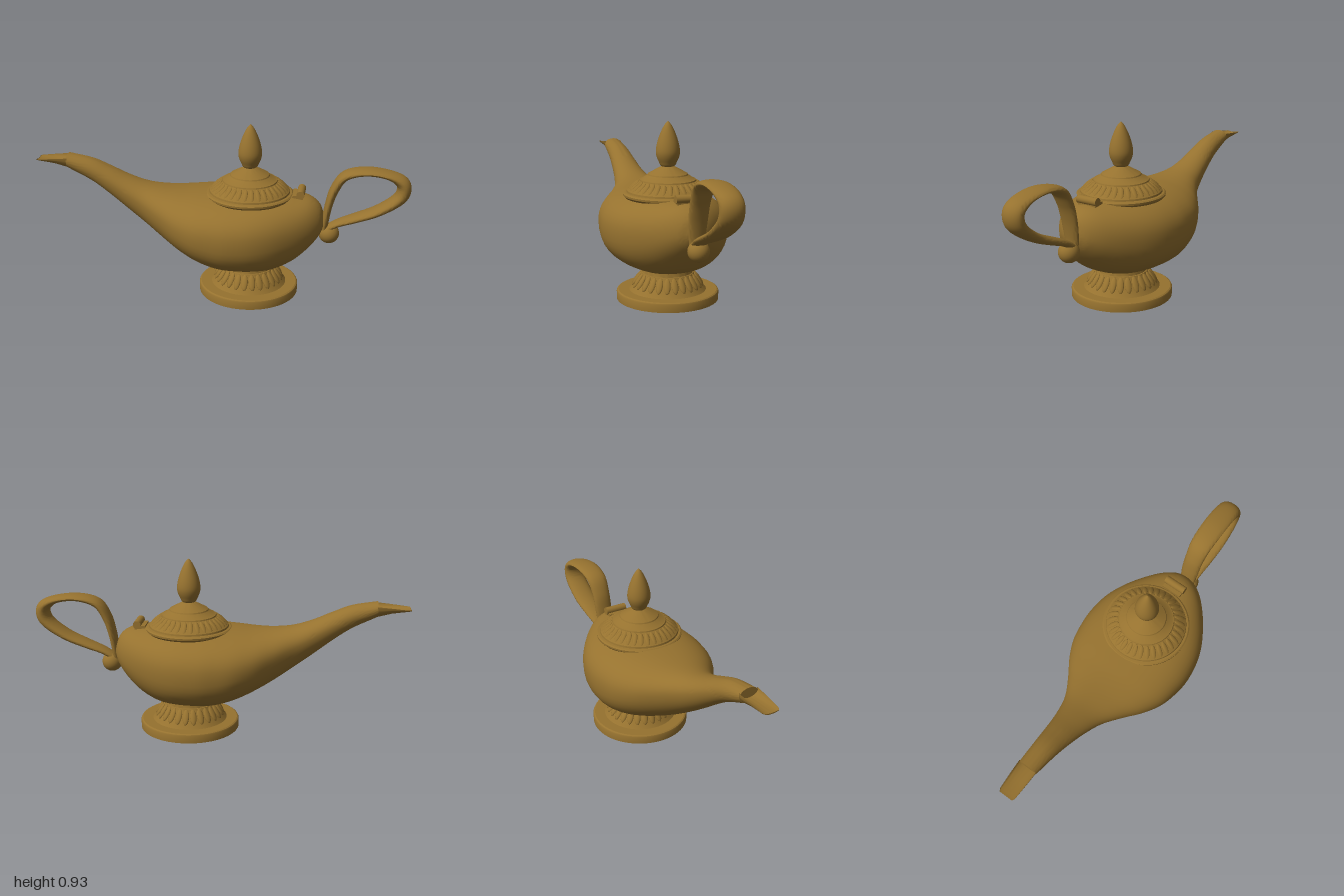
import * as THREE from 'three';
import { mergeGeometries, toCreasedNormals } from 'three/addons/utils/BufferGeometryUtils.js';

const AXIS = 0.158; // x of the foot, lid and finial axis
const brass = new THREE.MeshStandardMaterial({ color: 0x96722f });

function part(parent, name, geometry, x = 0, y = 0, z = 0) {
  const mesh = new THREE.Mesh(geometry, brass);
  mesh.name = name;
  mesh.position.set(x, y, z);
  parent.add(mesh);
  return mesh;
}

// Skin a list of equal-length rings and close both ends with a centre point
function loft(rings, crease) {
  const n = rings[0].length;
  const middle = ring => {
    const c = ring.reduce((s, p) => s.add(p), new THREE.Vector3()).divideScalar(n);
    return ring.map(() => c);
  };
  const all = [middle(rings[0]), ...rings, middle(rings[rings.length - 1])];
  const index = [];
  for (let i = 0; i < all.length - 1; i++) {
    for (let j = 0; j < n; j++) {
      const a = i * n + j, d = i * n + (j + 1) % n, b = a + n, c = d + n;
      if (i < all.length - 2) index.push(a, b, c);
      if (i > 0) index.push(a, c, d);
    }
  }
  // first and last strips are fans
  const g = new THREE.BufferGeometry().setFromPoints(all.flat());
  g.setIndex(index);
  // the first strip needs its own triangle, which touches ring 0 twice
  return toCreasedNormals(g, crease);
}

// Curve through rows of numbers, three columns at a time
const spline = (rows, from) => new THREE.CatmullRomCurve3(
  rows.map(r => new THREE.Vector3(r[from], r[from + 1], r[from + 2] ?? 0)), false, 'catmullrom', 0.5);

// Superellipse cross-section; a top below the middle makes a hollow
function section(x, bottom, mid, top, width, power, count = 48) {
  return Array.from({ length: count }, (_, j) => {
    const a = j / count * Math.PI * 2, c = Math.cos(a), s = Math.sin(a);
    const y = Math.pow(Math.abs(s), 2 / power) * (s > 0 ? top - mid : bottom - mid);
    return new THREE.Vector3(x, mid + y, Math.sign(c) * Math.pow(Math.abs(c), 2 / power) * width);
  });
}

function lathe(points, crease = 0.5) {
  const g = new THREE.LatheGeometry(points.map(p => new THREE.Vector2(...p)), 64);
  return toCreasedNormals(g, crease);
}

// Smooth lathe through a few profile points
function smoothLathe(points) {
  const curve = new THREE.SplineCurve(points.map(p => new THREE.Vector2(...p)));
  const pts = curve.getPoints(28);
  pts.forEach(p => { p.x = Math.max(p.x, 0); });
  return new THREE.LatheGeometry(pts, 48);
}

// Ring of raised leaves lying on a cone from (r0, y0) up to (r1, y1)
function leaves(count, r0, y0, r1, y1, width, depth) {
  const list = [];
  for (let i = 0; i < count; i++) {
    const g = new THREE.SphereGeometry(1, 10, 8);
    g.scale(depth, Math.hypot(r1 - r0, y1 - y0) / 2, width);
    g.rotateZ(Math.atan2(r0 - r1, y1 - y0));
    g.translate((r0 + r1) / 2, (y0 + y1) / 2, 0);
    g.rotateY((i + 0.5) / count * Math.PI * 2);
    list.push(g);
  }
  return mergeGeometries(list);
}

export function createModel() {
  const lamp = new THREE.Group();
  lamp.name = 'oilLamp';

  // Bowl and spout: x, bottom, widest height, top, half width, roundness
  const rows = [
    [-0.83, 0.645, 0.69, 0.725, 0.052, 2],
    [-0.7, 0.58, 0.645, 0.702, 0.062, 2],
    [-0.6, 0.51, 0.595, 0.662, 0.073, 2],
    [-0.5, 0.432, 0.54, 0.617, 0.09, 2],
    [-0.4, 0.358, 0.49, 0.583, 0.12, 2.05],
    [-0.3, 0.29, 0.45, 0.566, 0.18, 2.1],
    [-0.2, 0.235, 0.415, 0.56, 0.25, 2.2],
    [-0.1, 0.192, 0.392, 0.563, 0.3, 2.3],
    [0, 0.164, 0.38, 0.567, 0.322, 2.4],
    [0.09, 0.156, 0.375, 0.57, 0.329, 2.4],
    [0.2, 0.156, 0.378, 0.57, 0.315, 2.4],
    [0.3, 0.165, 0.385, 0.569, 0.278, 2.3],
    [0.4, 0.208, 0.395, 0.562, 0.216, 2.2],
    [0.48, 0.277, 0.405, 0.547, 0.15, 2.1],
    [0.53, 0.34, 0.415, 0.51, 0.09, 2],
    [0.552, 0.385, 0.42, 0.455, 0.04, 2],
  ];
  const low = spline(rows, 0), high = spline(rows, 3);
  const rings = [];
  for (let i = 0; i <= 90; i++) {
    const a = low.getPoint(i / 90), b = high.getPoint(i / 90);
    rings.push(section(a.x, a.y, a.z, b.x, b.y, b.z));
  }
  part(lamp, 'bowlAndSpout', loft(rings, 0.7));

  // Open pouring lip at the end of the spout
  const lip = [
    [-1, 0.681, 0.691, 0.685, 0.038],
    [-0.985, 0.678, 0.692, 0.681, 0.045],
    [-0.9, 0.664, 0.701, 0.678, 0.05],
    [-0.825, 0.643, 0.708, 0.672, 0.052],
  ].map(r => section(...r, 2));
  part(lamp, 'pouringLip', loft(lip, 0.7));

  // Foot: round plate, flared stem and leaf relief
  const foot = new THREE.Group();
  foot.name = 'foot';
  foot.position.x = AXIS;
  lamp.add(foot);
  part(foot, 'basePlate', lathe([[0, 0], [0.267, 0], [0.268, 0.04], [0.265, 0.046], [0.258, 0.05], [0, 0.05]]));
  part(foot, 'stem', lathe([[0.202, 0.05], [0.192, 0.062], [0.176, 0.085], [0.158, 0.11],
    [0.145, 0.128], [0.138, 0.141], [0.132, 0.142], [0.128, 0.165], [0, 0.165]]));
  part(foot, 'stemLeaves', leaves(26, 0.188, 0.068, 0.138, 0.14, 0.018, 0.009));

  // Lid: rim, leaf band and stepped dome
  const lid = new THREE.Group();
  lid.name = 'lid';
  lid.position.x = AXIS;
  lamp.add(lid);
  part(lid, 'lidDome', lathe([[0.22, 0.54], [0.23, 0.55], [0.231, 0.56], [0.224, 0.566], [0.213, 0.568],
    [0.211, 0.577], [0.18, 0.603], [0.146, 0.626], [0.144, 0.632], [0.136, 0.634], [0.105, 0.655],
    [0.102, 0.661], [0.075, 0.676], [0.045, 0.692], [0.025, 0.702], [0, 0.704]]));
  part(lid, 'lidLeaves', leaves(34, 0.207, 0.576, 0.147, 0.625, 0.014, 0.008));
  part(lid, 'finial', smoothLathe([[0, 0.69], [0.034, 0.7], [0.046, 0.72], [0.058, 0.748], [0.062, 0.778],
    [0.055, 0.82], [0.038, 0.87], [0.018, 0.91], [0, 0.93]]));

  // Hinge barrel behind the lid
  const hinge = new THREE.CylinderGeometry(0.021, 0.021, 0.12, 20).rotateX(Math.PI / 2);
  part(lamp, 'hingeBarrel', hinge, 0.43, 0.578);
  part(lamp, 'hingeLeaf', new THREE.BoxGeometry(0.055, 0.02, 0.11), 0.415, 0.562);

  // Looped handle: x, y, unused, half thickness, half width
  const strap = [
    [0.557, 0.37, 0, 0.018, 0.036], [0.562, 0.43, 0, 0.019, 0.044], [0.577, 0.52, 0, 0.021, 0.05],
    [0.603, 0.605, 0, 0.024, 0.052], [0.655, 0.68, 0, 0.023, 0.058], [0.76, 0.708, 0, 0.018, 0.062],
    [0.875, 0.695, 0, 0.02, 0.062], [0.945, 0.655, 0, 0.034, 0.06], [0.95, 0.6, 0, 0.036, 0.06],
    [0.91, 0.55, 0, 0.03, 0.062], [0.82, 0.492, 0, 0.024, 0.062], [0.72, 0.45, 0, 0.021, 0.055],
    [0.63, 0.415, 0, 0.018, 0.045], [0.56, 0.375, 0, 0.018, 0.036],
  ];
  const path = spline(strap, 0), size = spline(strap, 3);
  const loops = [];
  for (let i = 0; i <= 90; i++) {
    const p = path.getPoint(i / 90), t = path.getTangent(i / 90), s = size.getPoint(i / 90);
    loops.push(Array.from({ length: 24 }, (_, j) => {
      const a = j / 24 * Math.PI * 2, h = Math.sin(a) * s.x;
      return new THREE.Vector3(p.x - t.y * h, p.y + t.x * h, Math.cos(a) * s.y);
    }));
  }
  part(lamp, 'handle', loft(loops, 0.8));
  part(lamp, 'handleBall', new THREE.SphereGeometry(0.054, 32, 20), 0.583, 0.353);

  return lamp;
}
